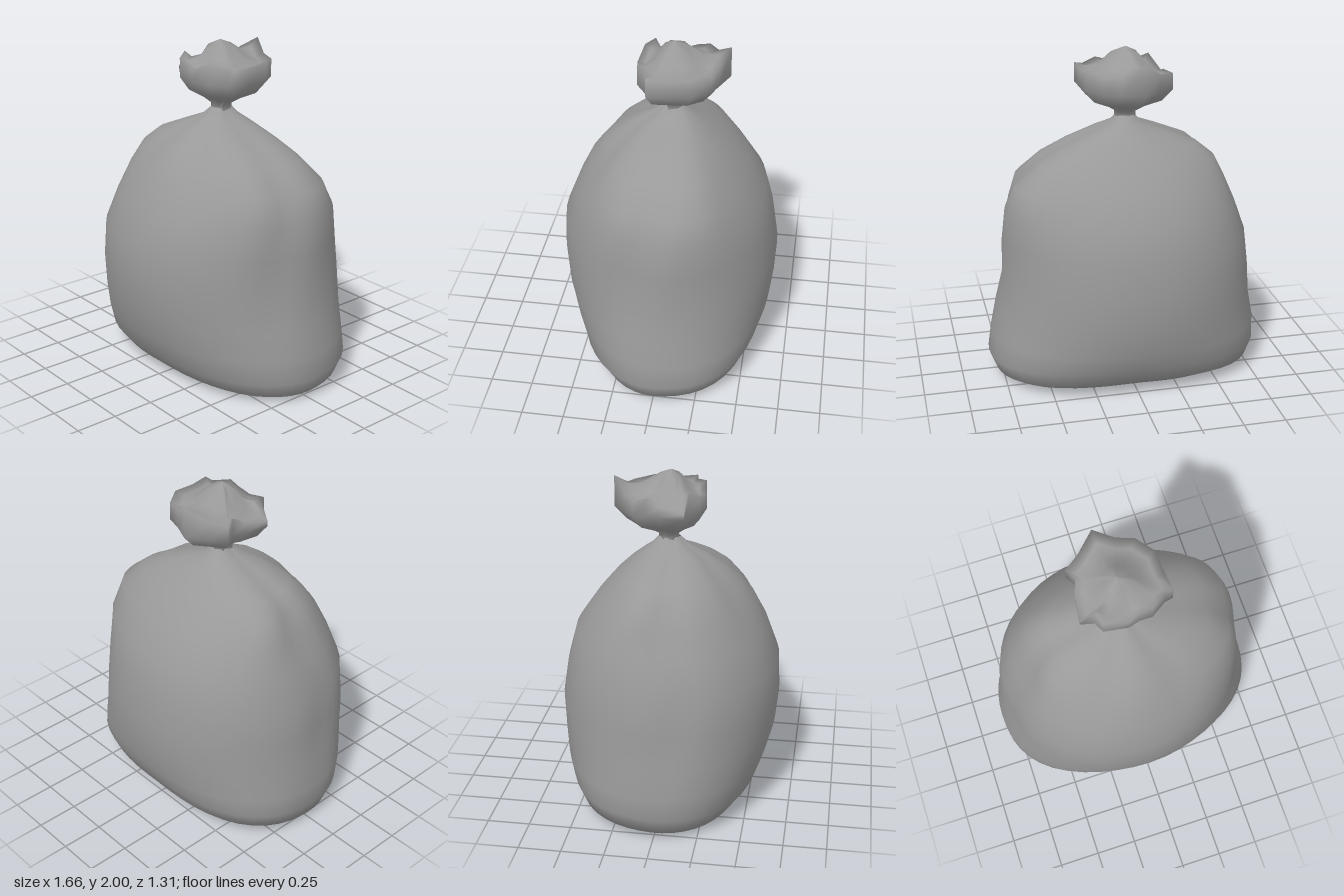
import * as THREE from 'three';

// Skin closed rings of points (ordered +x towards +z, bottom to top) with smooth normals.
function loft(rings, name) {
  const n = rings[0].length, pos = [], idx = [];
  rings.forEach(r => r.forEach(p => pos.push(...p)));
  for (let i = 0; i < rings.length - 1; i++) {
    for (let j = 0; j < n; j++) {
      const a = i * n + j, b = i * n + (j + 1) % n, c = a + n, d = b + n;
      idx.push(a, c, b, b, c, d);
    }
  }
  const g = new THREE.BufferGeometry();
  g.setAttribute('position', new THREE.Float32BufferAttribute(pos, 3));
  g.setIndex(idx);
  g.computeVertexNormals();
  const mesh = new THREE.Mesh(g, new THREE.MeshStandardMaterial({
    color: 0x999999, side: THREE.DoubleSide }));
  mesh.name = name;
  return mesh;
}

const CX = -0.03, CZ = -0.01; // axis through the tied neck

// Sack sections: height, then extents at -x, +x, -z (back), +z (front)
const SECTIONS = [
  [0.03, CX, CX, CZ, CZ],
  [0.015, -0.35, 0.38, -0.27, 0.22],
  [0.002, -0.63, 0.72, -0.49, 0.39],
  [0.04, -0.79, 0.79, -0.54, 0.46],
  [0.14, -0.825, 0.83, -0.585, 0.54],
  [0.28, -0.83, 0.81, -0.625, 0.59],
  [0.45, -0.80, 0.775, -0.645, 0.635],
  [0.65, -0.785, 0.735, -0.655, 0.655],
  [0.87, -0.76, 0.73, -0.62, 0.645],
  [1.06, -0.69, 0.725, -0.57, 0.57],
  [1.22, -0.62, 0.68, -0.46, 0.49],
  [1.34, -0.56, 0.53, -0.36, 0.40],
  [1.42, -0.46, 0.38, -0.28, 0.31],
  [1.50, -0.26, 0.19, -0.19, 0.20],
  [1.55, -0.13, 0.07, -0.125, 0.10],
  [1.60, -0.075, 0.02, -0.08, 0.045],
];

// Folds: angle and width in degrees, depth, height where they fade in
const FOLDS = [
  [-38, 14, 0.04, 1.1], [2, 13, -0.07, 1.1], [66, 10, -0.08, 1.25], [88, 9, 0.03, 1.25],
  [112, 10, -0.06, 1.25], [176, 12, -0.06, 1.1], [208, 14, 0.03, 1.1],
  [14, 10, -0.035, 0.6], [168, 9, -0.03, 0.5],
];

function foldDepth(deg, y) {
  return FOLDS.reduce((sum, [at, width, depth, from]) => {
    const d = ((deg - at + 540) % 360 - 180) / width;
    return sum + depth * Math.exp(-d * d) * THREE.MathUtils.smoothstep(y, from - 0.2, from + 0.2);
  }, 0);
}

function sackRing([y, xl, xr, zb, zf]) {
  const ring = [], seg = 48;
  const low = 1 - THREE.MathUtils.smoothstep(y, 0.05, 0.4);
  for (let j = 0; j < seg; j++) {
    const t = j / seg * Math.PI * 2, c = Math.cos(t), s = Math.sin(t);
    // squarer corners near the base and at the back
    const n = (s < 0 ? 2.1 : c > 0 ? 1.95 : 2.15) + low * (s < 0 ? 0.4 : 0.15);
    const r = Math.pow(Math.abs(c) ** n + Math.abs(s) ** n, -1 / n)
      * (1 + foldDepth(j / seg * 360, y));
    const x = CX + r * c * (c > 0 ? xr - CX : CX - xl);
    const z = CZ + r * s * (s > 0 ? zf - CZ : CZ - zb);
    // the base lifts a little at the back and under the middle
    const lift = low * (0.04 * Math.max(0, -z / 0.5) + 0.02 * Math.max(0, 1 - Math.abs(x) / 0.6));
    ring.push([x, y + lift, z]);
  }
  return ring;
}

// Ragged rim of the gathered top: x, y, z
const RIM = [
  [0.24, 1.88, 0.0], [0.25, 1.89, 0.11], [0.2, 1.88, 0.12], [0.11, 1.9, 0.18],
  [0.04, 1.88, 0.18], [-0.03, 1.85, 0.2], [-0.17, 1.89, 0.18], [-0.2, 1.92, 0.12],
  [-0.28, 1.81, 0.1], [-0.26, 1.84, -0.05], [-0.23, 1.88, -0.12], [-0.27, 1.87, -0.19],
  [-0.18, 1.88, -0.25], [-0.07, 1.96, -0.335], [0.05, 1.89, -0.28], [0.15, 1.88, -0.25],
  [0.23, 1.89, -0.14],
];

// Scale the rim outline about the neck; mix blends a level height into the rim heights.
const tuftRing = (scale, y, mix = 0) => RIM.map(([x, h, z]) => [
  CX + (x - CX) * scale, y + (h - y) * mix, CZ + (z - CZ) * scale]);

export function createModel() {
  const model = new THREE.Group();
  model.name = 'tiedSack';

  model.add(loft(SECTIONS.map(sackRing), 'sackBody'));

  // Neck flaring into a crumpled tuft, its middle bulging up
  model.add(loft([
    tuftRing(0.22, 1.58),
    tuftRing(0.22, 1.62),
    tuftRing(0.42, 1.655),
    tuftRing(0.78, 1.7),
    tuftRing(1, 1.775),
    tuftRing(1, 1.8, 1),
    tuftRing(0.8, 1.84, 0.6),
    tuftRing(0.52, 1.9, 0.3),
    tuftRing(0.28, 1.965),
    tuftRing(0, 2.0),
  ], 'gatheredTop'));

  return model;
}
